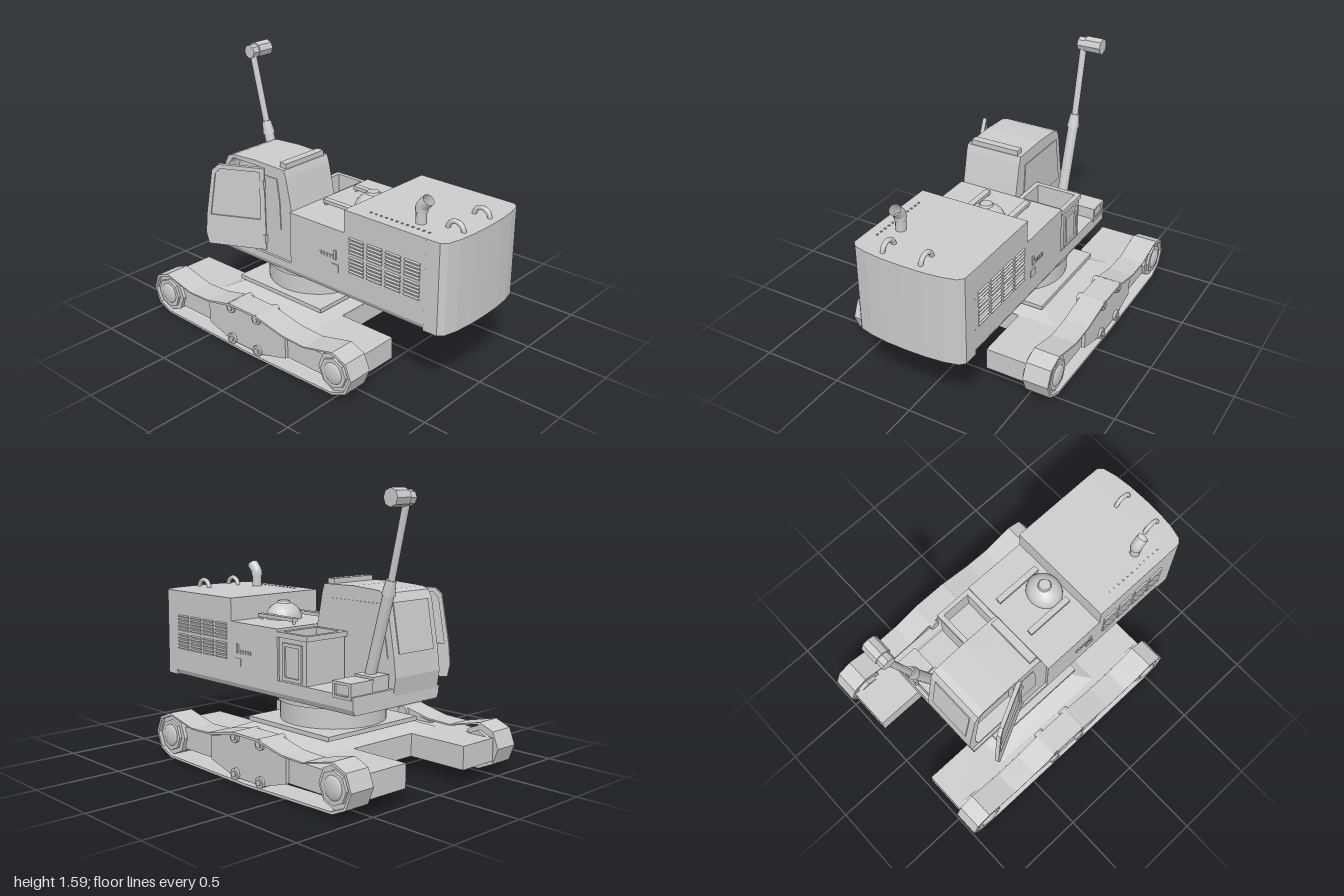
import * as THREE from 'three';

const mat = new THREE.MeshStandardMaterial({ color: 0xcccccc, side: THREE.DoubleSide });
const flat = new THREE.MeshStandardMaterial({ color: 0xcccccc, flatShading: true });

function add(parent, name, geo, m = mat) {
  const mesh = new THREE.Mesh(geo, m);
  mesh.name = name;
  parent.add(mesh);
  return mesh;
}

// Box given by its limits on each axis
function box(parent, name, x0, x1, y0, y1, z0, z1) {
  const mesh = add(parent, name, new THREE.BoxGeometry(x1 - x0, y1 - y0, z1 - z0));
  mesh.position.set((x0 + x1) / 2, (y0 + y1) / 2, (z0 + z1) / 2);
  return mesh;
}

function shapeOf(points, hole) {
  const s = new THREE.Shape(points.map(p => new THREE.Vector2(...p)));
  if (hole) s.holes.push(new THREE.Path(hole.map(p => new THREE.Vector2(...p))));
  return s;
}

// Side profile in x, y extruded from z0 to z1
function side(parent, name, points, z0, z1, hole) {
  const g = new THREE.ExtrudeGeometry(shapeOf(points, hole), { depth: z1 - z0, bevelEnabled: false });
  return add(parent, name, g.translate(0, 0, z0));
}

// Plan outline in x, z extruded from y0 to y1
function plan(parent, name, points, y0, y1, hole) {
  const flip = l => l && l.map(([x, z]) => [x, -z]);
  const g = new THREE.ExtrudeGeometry(shapeOf(flip(points), flip(hole)), { depth: y1 - y0, bevelEnabled: false });
  return add(parent, name, g.rotateX(-Math.PI / 2).translate(0, y0, 0));
}

// Round bar between two points
function rod(parent, name, a, b, r, seg = 12, r2 = r, m = mat) {
  const A = new THREE.Vector3(...a), B = new THREE.Vector3(...b);
  const mesh = add(parent, name, new THREE.CylinderGeometry(r2, r, A.distanceTo(B), seg), m);
  mesh.position.copy(A).lerp(B, 0.5);
  mesh.quaternion.setFromUnitVectors(new THREE.Vector3(0, 1, 0), B.sub(A).normalize());
  return mesh;
}

const rect = (x0, x1, z0, z1) => [[x0, z0], [x1, z0], [x1, z1], [x0, z1]];

function track(s) {
  const g = new THREE.Group();
  g.name = s > 0 ? 'frontTrack' : 'rearTrack';
  const Z = (a, b) => s > 0 ? [a, b] : [-b, -a];
  // Closed belt
  const outer = [[-0.87, 0.015], [-0.2, 0], [0.49, 0.015], [0.583, 0.057], [0.622, 0.15], [0.583, 0.243],
    [0.49, 0.28], [0.28, 0.23], [0.12, 0.235], [-0.1, 0.28], [-0.3, 0.28], [-0.5, 0.235], [-0.66, 0.23],
    [-0.87, 0.28], [-0.963, 0.243], [-1, 0.15], [-0.963, 0.057]];
  const inner = outer.map(([x, y]) => [-0.19 + (x + 0.19) * 0.982, 0.145 + (y - 0.145) * 0.9]);
  side(g, 'trackBelt', outer, ...Z(0.495, 0.65), inner);
  // Side frame with a deeper middle
  side(g, 'trackFrame', [[-0.78, 0.08], [0.39, 0.08], [0.39, 0.21], [-0.78, 0.21]], ...Z(0.49, 0.61));
  side(g, 'trackFrameMiddle', [[-0.51, 0.08], [-0.33, 0.025], [-0.08, 0.025], [0.12, 0.08], [0.12, 0.215],
    [-0.08, 0.262], [-0.33, 0.262], [-0.51, 0.215]], ...Z(0.5, 0.63));
  // End wheels
  for (const x of [-0.87, 0.49]) {
    rod(g, 'wheel', [x, 0.148, s * 0.5], [x, 0.148, s * 0.63], 0.118, 8, 0.118, flat);
    rod(g, 'wheelRim', [x, 0.148, s * 0.475], [x, 0.148, s * 0.645], 0.09, 8, 0.09, flat);
    const hub = add(g, 'wheelHub', new THREE.SphereGeometry(0.065, 16, 10));
    hub.scale.z = 0.3;
    hub.position.set(x, 0.148, s * 0.642);
  }
  // Rollers
  for (const x of [-0.31, -0.1]) for (const y of [0.045, 0.25]) {
    rod(g, 'roller', [x, y, s * 0.475], [x, y, s * 0.645], 0.033, 8);
    rod(g, 'rollerCap', [x, y, s * 0.64], [x, y, s * 0.652], 0.018, 8);
  }
  return g;
}

function undercarriage(root) {
  const g = new THREE.Group();
  g.name = 'undercarriage';
  root.add(g, track(1), track(-1));
  plan(g, 'chassis', [[-0.97, -0.49], [0.56, -0.49], [0.56, -0.23], [0.19, -0.23], [0.19, 0.23], [0.56, 0.23],
    [0.56, 0.49], [-0.97, 0.49], [-0.97, 0.23], [-0.6, 0.23], [-0.6, -0.23], [-0.97, -0.23]], 0.08, 0.212);
  // Sloped deck under the turntable
  const deck = add(g, 'deck', new THREE.CylinderGeometry(0.33 * Math.SQRT2, 0.46 * Math.SQRT2, 0.048, 4)
    .rotateY(Math.PI / 4), flat);
  deck.scale.x = 0.85;
  deck.position.set(-0.2, 0.234, 0);
  box(g, 'deckPlate', -0.53, 0.13, 0.255, 0.28, -0.35, 0.35);
  rod(g, 'turntable', [-0.205, 0.27, 0], [-0.205, 0.4, 0], 0.305, 32);
  rod(g, 'turntableRing', [-0.205, 0.395, 0], [-0.205, 0.425, 0], 0.32, 32);
}

function engineHouse(root) {
  const g = new THREE.Group();
  g.name = 'engineHouse';
  root.add(g);
  // Floor with rounded lower edges
  const floor = new THREE.ExtrudeGeometry(shapeOf([[-0.34, 0.49], [-0.34, 0.45], [-0.325, 0.42], [0.325, 0.42],
    [0.34, 0.45], [0.34, 0.49]]), { depth: 1.55, bevelEnabled: false });
  add(g, 'floor', floor.rotateY(Math.PI / 2).translate(-0.7, 0, 0));
  box(g, 'middleHousing', -0.11, 0.3, 0.48, 0.81, -0.34, 0.34);
  box(g, 'engineCover', 0.3, 0.85, 0.48, 0.945, -0.34, 0.34);
  plan(g, 'counterweight', [[0.845, -0.34], [0.935, -0.338], [0.965, -0.31], [0.985, -0.23], [0.997, -0.12], [1, 0],
    [0.997, 0.12], [0.985, 0.23], [0.965, 0.31], [0.935, 0.338], [0.845, 0.34]], 0.417, 0.945);
  // Louvres and side slots on both sides
  for (const s of [1, -1]) {
    for (let c = 0; c < 4; c++) for (let r = 0; r < 2; r++) for (let i = 0; i < 5; i++) {
      const x = 0.34 + c * 0.126, y = 0.59 + r * 0.115 + i * 0.021;
      const slat = box(g, 'louvre', x, x + 0.1, y - 0.006, y + 0.006, s * 0.34 - 0.008, s * 0.34 + 0.008);
      slat.rotation.x = s * 0.5;
    }
    for (let i = 0; i < 5; i++)
      box(g, 'sideSlot', 0.12 + i * 0.022, 0.135 + i * 0.022, 0.63, 0.65, s * 0.34 - 0.005, s * 0.34 + 0.005);
    box(g, 'sideHandle', 0.23, 0.245, 0.63, 0.685, s * 0.34 - 0.008, s * 0.34 + 0.008);
    box(g, 'sideCatch', 0.21, 0.26, 0.555, 0.6, s * 0.34 - 0.005, s * 0.34 + 0.005);
  }
  // Bolts on the cover
  for (let i = 0; i < 12; i++) box(g, 'coverBolt', 0.43 + i * 0.035, 0.44 + i * 0.035, 0.94, 0.95, 0.27, 0.28);
  // Lifting eyes
  for (const z of [-0.085, 0.15]) {
    const eye = add(g, 'liftingEye', new THREE.TorusGeometry(0.05, 0.014, 8, 14, Math.PI));
    eye.position.set(0.895, 0.94, z);
  }
  // Exhaust pipe, bent at the top
  rod(g, 'exhaustPipe', [0.71, 0.94, 0.2], [0.71, 1.03, 0.2], 0.03, 12);
  const bend = new THREE.CatmullRomCurve3([[0.71, 1.01, 0.2], [0.715, 1.04, 0.2], [0.755, 1.085, 0.2]]
    .map(p => new THREE.Vector3(...p)));
  add(g, 'exhaustBend', new THREE.TubeGeometry(bend, 8, 0.035, 12));
  // Domed air cleaner between two handrails
  const dome = add(g, 'airCleaner', new THREE.SphereGeometry(0.11, 18, 12));
  dome.scale.set(0.95, 0.9, 1.05);
  dome.position.set(0.2, 0.81, -0.02);
  rod(g, 'airCleanerCap', [0.2, 0.88, -0.02], [0.2, 0.915, -0.02], 0.05, 12, 0.035);
  for (const z of [-0.15, 0.115]) {
    box(g, 'handrail', -0.045, 0.26, 0.825, 0.845, z - 0.018, z + 0.018);
    for (const x of [-0.035, 0.25]) rod(g, 'handrailPost', [x, 0.8, z], [x, 0.83, z], 0.01, 8);
  }
}

function cab(root) {
  const g = new THREE.Group();
  g.name = 'cab';
  root.add(g);
  const profile = [[-0.7, 0.48], [-0.11, 0.48], [-0.11, 0.81], [-0.15, 1.0], [-0.165, 1.045], [-0.4, 1.05],
    [-0.58, 1.04], [-0.625, 1.025], [-0.65, 0.98], [-0.7, 0.7], [-0.715, 0.58]];
  const door = [[0, 0.51], [0, 1.02], [-0.28, 1.02], [-0.32, 0.98], [-0.365, 0.7], [-0.375, 0.58], [-0.36, 0.51]];
  side(g, 'cabBody', profile, -0.035, 0.24);
  side(g, 'cabDoorFrame', profile, 0.24, 0.325, door.map(([x, y]) => [-0.33 + x * 0.9, y]));
  // Glass panels
  const sideGlass = [[-0.315, 0.65], [-0.195, 0.67], [-0.2, 0.85], [-0.22, 0.98], [-0.315, 0.98]];
  side(g, 'rearSideWindow', sideGlass, 0.322, 0.33);
  side(g, 'farSideWindow', [[-0.66, 0.68], [-0.2, 0.68], [-0.22, 0.97], [-0.61, 0.97]], -0.04, -0.034);
  const shield = box(g, 'windshield', -0.005, 0.005, -0.14, 0.14, -0.14, 0.14);
  shield.position.set(-0.676, 0.84, 0.145);
  shield.rotation.z = -0.177;
  box(g, 'roofBar', -0.22, -0.17, 1.03, 1.075, -0.01, 0.3);
  // Open door swung out on its rear hinge
  const d = new THREE.Group();
  d.name = 'door';
  d.position.set(-0.32, 0, 0.325);
  d.rotation.y = 0.463;
  g.add(d);
  side(d, 'doorPanel', door, -0.012, 0.012,
    [[-0.03, 0.7], [-0.03, 0.995], [-0.27, 0.995], [-0.3, 0.96], [-0.34, 0.7]]);
  side(d, 'doorGlass', [[-0.02, 0.69], [-0.02, 1], [-0.28, 1], [-0.31, 0.96], [-0.35, 0.69]], -0.003, 0.003);
  for (const y of [0.58, 0.92]) box(g, 'doorHinge', -0.36, -0.31, y - 0.025, y + 0.025, 0.315, 0.345);
}

function toolDeck(root) {
  const g = new THREE.Group();
  g.name = 'toolDeck';
  root.add(g);
  box(g, 'lowDeck', -0.7, -0.11, 0.48, 0.52, -0.34, -0.03);
  // Open tool bin with a raised rim
  plan(g, 'toolBin', rect(-0.345, -0.12, -0.335, -0.05), 0.5, 0.77, rect(-0.325, -0.14, -0.315, -0.07));
  plan(g, 'toolBinRim', rect(-0.355, -0.11, -0.342, -0.043), 0.765, 0.795, rect(-0.325, -0.14, -0.315, -0.07));
  box(g, 'toolBinFloor', -0.33, -0.13, 0.5, 0.66, -0.32, -0.06);
  side(g, 'toolBinPanel', [[-0.31, 0.53], [-0.155, 0.53], [-0.155, 0.74], [-0.31, 0.74]], -0.345, -0.33,
    [[-0.29, 0.55], [-0.175, 0.55], [-0.175, 0.72], [-0.29, 0.72]]);
  // Step box in the corner
  box(g, 'stepBox', -0.69, -0.55, 0.5, 0.59, -0.335, -0.18);
  side(g, 'stepFrame', [[-0.69, 0.5], [-0.55, 0.5], [-0.55, 0.59], [-0.69, 0.59]], -0.345, -0.33,
    [[-0.67, 0.515], [-0.57, 0.515], [-0.57, 0.575], [-0.67, 0.575]]);
  box(g, 'mastFoot', -0.68, -0.54, 0.5, 0.6, -0.17, -0.05);
  // Slanted mast with a round head
  rod(g, 'mastSleeve', [-0.58, 0.55, -0.1], [-0.722, 1.05, -0.1], 0.032, 12);
  rod(g, 'mastCollar', [-0.715, 1.03, -0.1], [-0.735, 1.11, -0.1], 0.038, 12, 0.028);
  rod(g, 'mast', [-0.73, 1.08, -0.1], [-0.83, 1.52, -0.095], 0.02, 12);
  rod(g, 'mastHeadBlock', [-0.833, 1.535, -0.068], [-0.833, 1.535, -0.12], 0.042, 8, 0.042, flat);
  rod(g, 'mastHead', [-0.833, 1.538, -0.115], [-0.833, 1.538, -0.22], 0.049, 8, 0.049, flat);
}

export function createModel() {
  const root = new THREE.Group();
  root.name = 'trackedMachine';
  undercarriage(root);
  engineHouse(root);
  cab(root);
  toolDeck(root);
  return root;
}
